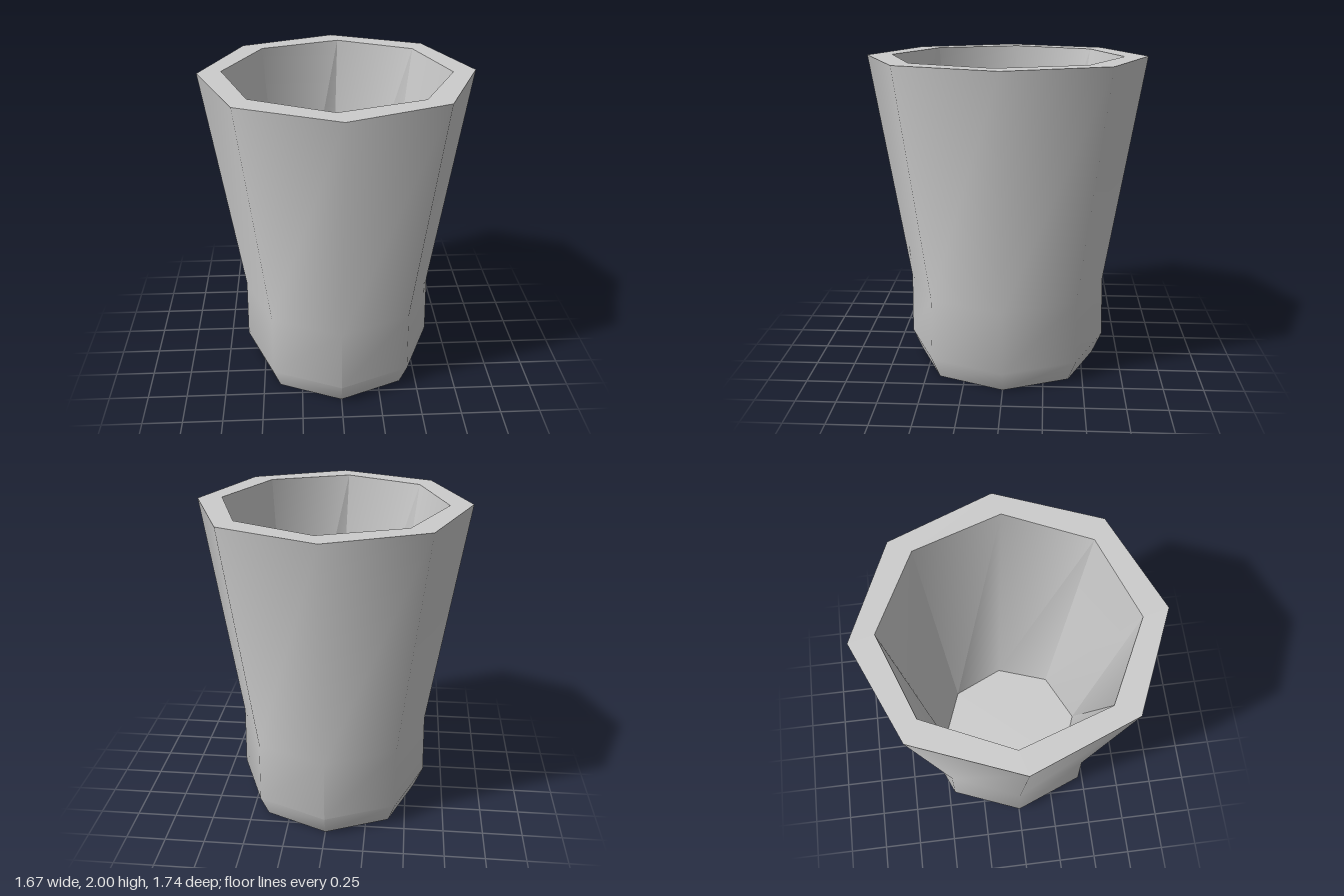
import * as THREE from 'three';
import { toCreasedNormals } from 'three/addons/utils/BufferGeometryUtils.js';

const SIDES = 8;
const Z_STRETCH = 1.042; // the octagon is slightly deeper than wide

// Point i of an octagonal ring [radius, y, twist in degrees]
function ringPoint([r, y, twist = 0], i) {
  const a = (i / SIDES) * Math.PI * 2 + THREE.MathUtils.degToRad(twist);
  return [r * Math.sin(a), y, r * Math.cos(a) * Z_STRETCH];
}

// Skin a run of rings; a ring of radius 0 closes the end
function skin(rings) {
  const pos = [];
  for (let k = 0; k < rings.length - 1; k++) {
    const low = rings[k], high = rings[k + 1];
    for (let i = 0; i < SIDES; i++) {
      const a = ringPoint(low, i), b = ringPoint(low, i + 1);
      const c = ringPoint(high, i + 1), d = ringPoint(high, i);
      if (low[0] > 0) pos.push(...a, ...b, ...c);
      if (high[0] > 0) pos.push(...a, ...c, ...d);
    }
  }
  // fan triangles at a closed start/end are covered by the two cases above
  const g = new THREE.BufferGeometry();
  g.setAttribute('position', new THREE.Float32BufferAttribute(pos, 3));
  return toCreasedNormals(g, THREE.MathUtils.degToRad(50));
}

export function createModel() {
  const group = new THREE.Group();
  group.name = 'cup';
  const grey = new THREE.MeshStandardMaterial({ color: 0xcccccc });
  grey.name = 'light grey';

  const add = (name, rings) => {
    const mesh = new THREE.Mesh(skin(rings), grey);
    mesh.name = name;
    group.add(mesh);
  };

  const rim = [0.835, 2];
  const mouth = [0.693, 2, -3];
  const floor = [0.46, 0.18, 3];

  // Underside, chamfered foot, straight base and flared wall
  add('outerWall', [[0, 0], [0.557, 0], [0.617, 0.14], [0.61, 0.54], rim]);
  // Flat ring around the opening
  add('rim', [rim, mouth]);
  // Tapering inside with a slight twist, closed by a flat floor
  add('inside', [mouth, floor, [0, floor[1]]]);

  return group;
}
